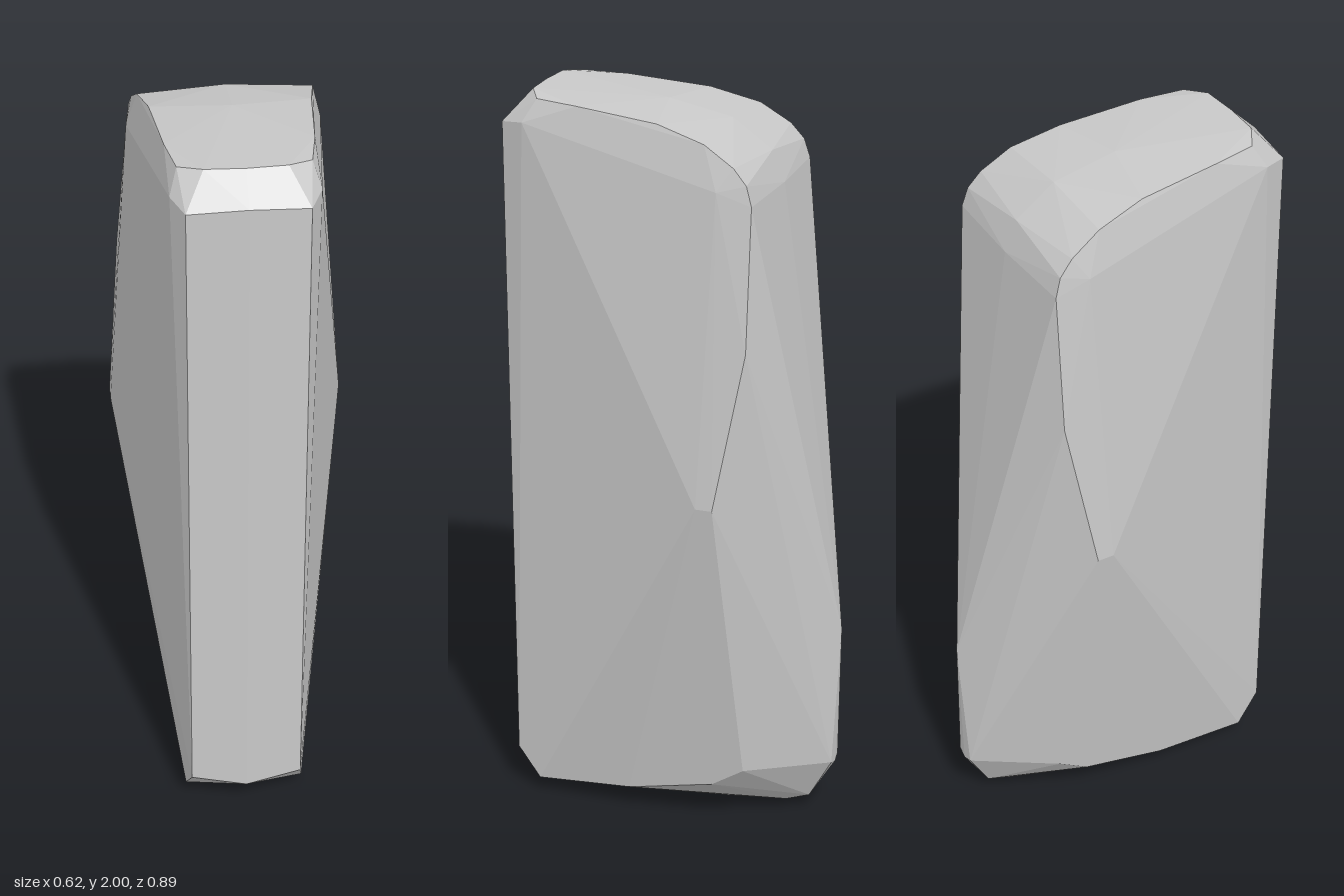
import * as THREE from 'three';
import { ConvexGeometry } from 'three/addons/geometries/ConvexGeometry.js';

export function createModel() {
  const group = new THREE.Group();
  group.name = 'standingStone';
  const stoneGrey = new THREE.MeshStandardMaterial({ color: 0xc8c8c8 });
  stoneGrey.name = 'stoneGrey';

  // Corners on the left half, mirrored to the right: x, y, z
  const sides = [
    // front face and its bevels
    [0.148, 1.92, 0.437], [0.148, 0.13, 0.437], [0.18, 1.93, 0.37], [0.16, 0.05, 0.37],
    // rim of the top, curving down to the back
    [0.1, 2.0, 0.37], [0.16, 1.99, 0.335], [0.18, 1.985, 0.22], [0.2, 1.965, 0],
    [0.22, 1.93, -0.13], [0.23, 1.88, -0.21], [0.235, 1.84, -0.245], [0.24, 1.79, -0.26],
    // widest ridge of the flanks
    [0.31, 1.0, -0.14], [0.31, 1.0, -0.185], [0.275, 1.42, -0.26], [0.247, 1.82, -0.17],
    // lower edge and lower back corners
    [0.168, 0.075, 0.1], [0.17, 0.13, -0.14], [0.175, 0.19, -0.23], [0.03, 0.18, -0.435],
  ];
  // Corners on the centre line: y, z
  const spine = [
    [1.93, 0.447], [0.1, 0.447], [0.04, 0.37], [0.005, -0.14], [0.025, -0.3],
    [0.05, -0.365], [0.17, -0.437], [0.57, -0.447], [1.79, -0.268],
    [1.87, -0.235], [1.945, -0.13], [1.98, 0.04], [2.0, 0.375],
  ];

  const points = spine.map(([y, z]) => new THREE.Vector3(0, y, z));
  for (const [x, y, z] of sides) {
    points.push(new THREE.Vector3(x, y, z), new THREE.Vector3(-x, y, z));
  }

  const stone = new THREE.Mesh(new ConvexGeometry(points), stoneGrey);
  stone.name = 'stone';
  group.add(stone);
  return group;
}
